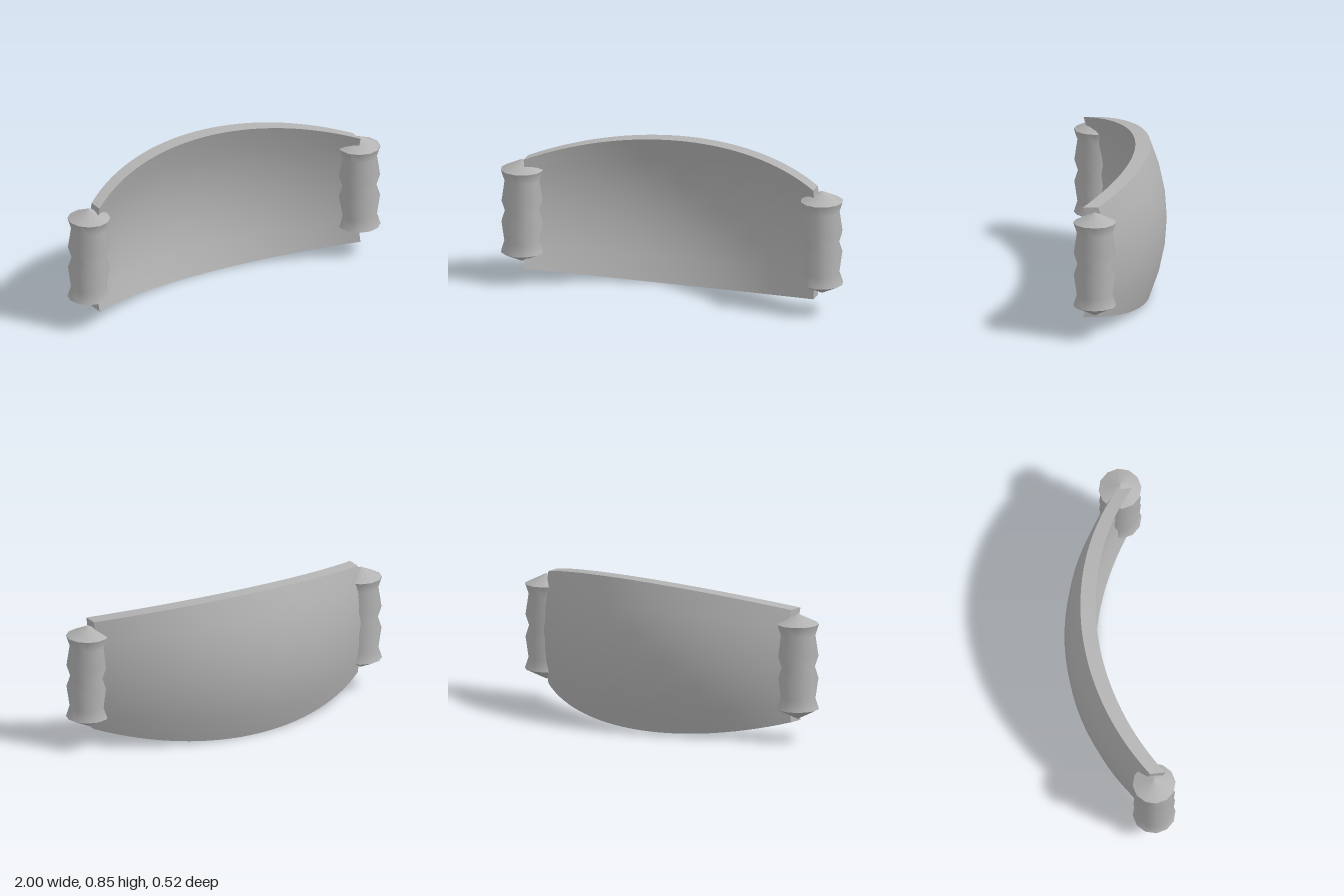
import * as THREE from 'three';

const HALF_WIDTH = 0.85, THICK = 0.085, MID_Y = 0.425;

// Point on the shell: s across (-1..1), t up (-1..1), d depth (0 back, 1 front)
function shellPoint(s, t, d) {
  const x = s * HALF_WIDTH;
  const R = 1.39;
  const rise = R - Math.sqrt(R * R - x * x); // arc of the rim
  const H = MID_Y - 0.36 * rise;             // half height tapers to the ends
  const bulge = 0.5 * H * H * (1 - t * t);   // vertical bowing
  return [x, MID_Y + t * H, -0.17 + rise - bulge + d * THICK];
}

// Grid surface from a rule of (u, v) in 0..1
function patch(rule, nu, nv) {
  const pos = [], idx = [];
  for (let j = 0; j <= nv; j++)
    for (let i = 0; i <= nu; i++) pos.push(...rule(i / nu, j / nv));
  for (let j = 0; j < nv; j++)
    for (let i = 0; i < nu; i++) {
      const a = j * (nu + 1) + i, b = a + 1, c = a + nu + 1, e = c + 1;
      idx.push(a, b, e, a, e, c);
    }
  const g = new THREE.BufferGeometry();
  g.setAttribute('position', new THREE.Float32BufferAttribute(pos, 3));
  g.setIndex(idx);
  g.computeVertexNormals();
  return g;
}

export function createModel() {
  const model = new THREE.Group();
  model.name = 'curvedShieldWithGrips';
  const grey = new THREE.MeshStandardMaterial({ color: 0xb3b3b3 });
  grey.name = 'grey';

  const add = (parent, name, geometry) => {
    const mesh = new THREE.Mesh(geometry, grey);
    mesh.name = name;
    parent.add(mesh);
    return mesh;
  };

  // Curved shell
  const shell = new THREE.Group();
  shell.name = 'shell';
  model.add(shell);
  const N = 32, M = 6;
  add(shell, 'frontFace', patch((u, v) => shellPoint(2 * u - 1, 2 * v - 1, 1), N, M));
  add(shell, 'backFace', patch((u, v) => shellPoint(1 - 2 * u, 2 * v - 1, 0), N, M));
  add(shell, 'topRim', patch((u, v) => shellPoint(2 * u - 1, 1, 1 - v), N, 1));
  add(shell, 'bottomRim', patch((u, v) => shellPoint(2 * u - 1, -1, v), N, 1));
  add(shell, 'leftEnd', patch((u, v) => shellPoint(1, 2 * v - 1, 1 - u), 1, M));
  add(shell, 'rightEnd', patch((u, v) => shellPoint(-1, 2 * v - 1, u), 1, M));

  // Ridged grips with pointed caps
  const lathe = (points) =>
    new THREE.LatheGeometry(points.map(([r, y]) => new THREE.Vector2(r, y)), 12);
  const body = lathe([
    [0.12, 0.184], [0.1, 0.246], [0.117, 0.363], [0.097, 0.426],
    [0.117, 0.488], [0.1, 0.606], [0.12, 0.668],
  ]);
  const topCap = lathe([[0.12, 0.668], [0, 0.727]]);
  const bottomCap = lathe([[0, 0.125], [0.12, 0.184]]);
  for (const [side, sign] of [['left', 1], ['right', -1]]) {
    const grip = new THREE.Group();
    grip.name = side + 'Grip';
    grip.position.set(sign * 0.88, 0, 0.14);
    add(grip, 'gripBody', body);
    add(grip, 'gripTopCap', topCap);
    add(grip, 'gripBottomCap', bottomCap);
    model.add(grip);
  }
  return model;
}
